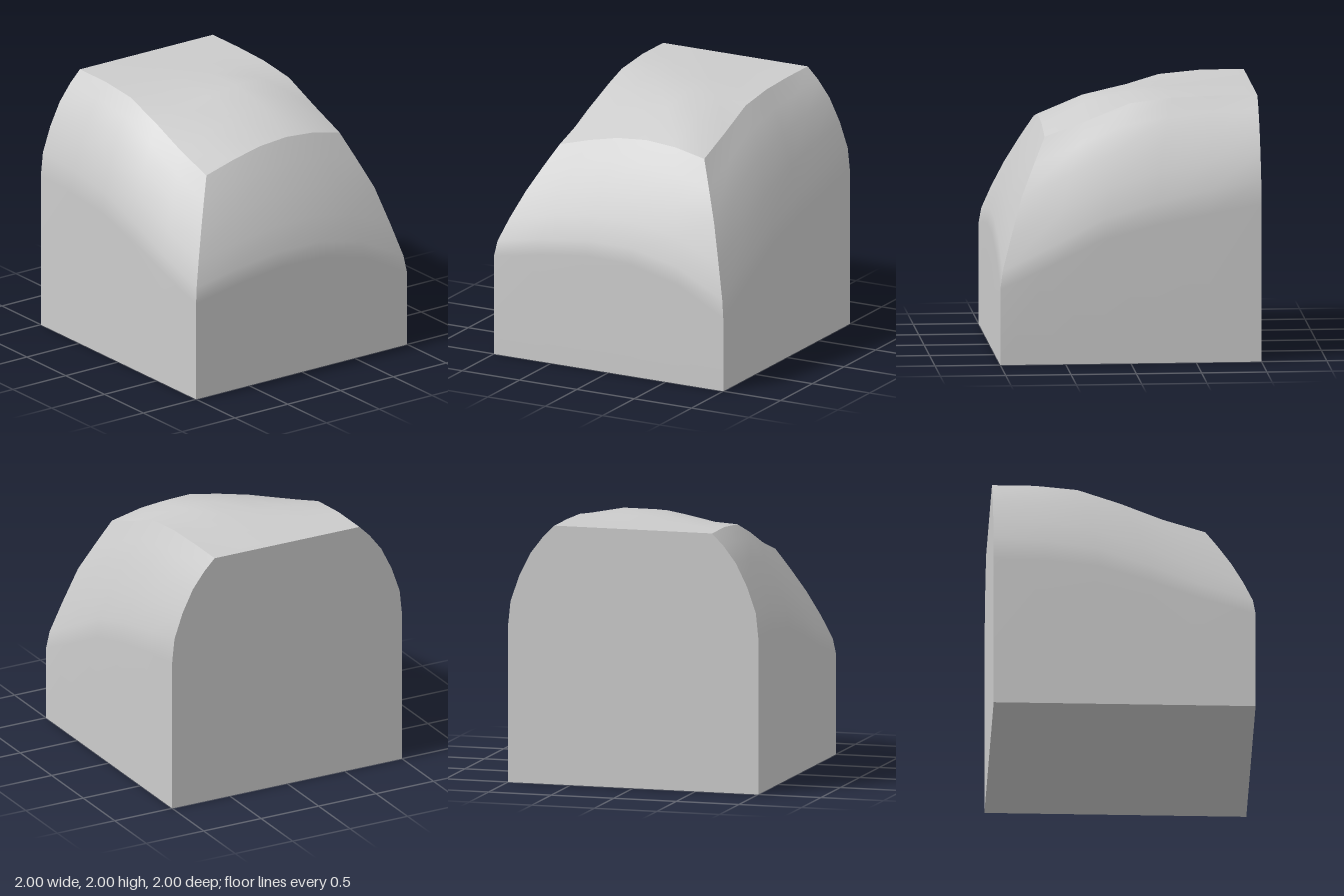
import * as THREE from 'three';

// Roof heights: rows run front to back, columns run from x = -1 to the right rim
const ROOF = [
  [2, 2, 1.97, 1.86, 1.73, 1.63],
  [2, 2, 1.985, 1.92, 1.83, 1.70],
  [2, 2, 2, 1.97, 1.89, 1.755],
  [2, 2, 2, 2, 1.94, 1.775],
  [2, 2, 2, 2, 1.93, 1.755],
  [2, 2, 1.99, 1.95, 1.82, 1.70],
];
const N = 5;

// Wall section: inset from the footprint, and drop below the roof rim at three stations
const INSET = [0, 0.02, 0.09, 0.18, 0.28, 0.37];
const DROP_FLAT = [0.79, 0.60, 0.40, 0.22, 0.09, 0];
const DROP_FRONT = [0.85, 0.73, 0.55, 0.35, 0.16, 0];
const DROP_BACK = [1.12, 0.98, 0.73, 0.43, 0.20, 0];

const material = new THREE.MeshStandardMaterial({ color: 0xcccccc });

// Smooth surface through a grid of points; its outline stays a sharp edge
function panel(name, rows) {
  const w = rows[0].length;
  const index = [];
  for (let r = 0; r < rows.length - 1; r++) {
    for (let c = 0; c < w - 1; c++) {
      const a = r * w + c, b = a + 1, d = a + w, e = d + 1;
      index.push(a, b, e, a, e, d);
    }
  }
  const geometry = new THREE.BufferGeometry();
  geometry.setAttribute('position', new THREE.Float32BufferAttribute(rows.flat(2), 3));
  geometry.setIndex(index);
  geometry.computeVertexNormals();
  const mesh = new THREE.Mesh(geometry, material);
  mesh.name = name;
  return mesh;
}

// Wall rows from the ground up; place(u, inset) gives [x, z], rim(k) the roof height
function wallRows(place, rim, dropA, dropB, power = 1) {
  const row = (inset, height) => Array.from({ length: N + 1 }, (_, k) => {
    const [x, z] = place(k / N, inset);
    return [x, height(k), z];
  });
  const curved = INSET.map((inset, l) => row(inset, (k) =>
    rim(k) - THREE.MathUtils.lerp(dropA[l], dropB[l], (k / N) ** power)));
  return [row(0, () => 0), ...curved];
}

export function createModel() {
  const group = new THREE.Group();
  group.name = 'roundedBlock';

  const front = wallRows((u, d) => [-1 + u * (2 - d), 1 - d], (k) => ROOF[0][k], DROP_FLAT, DROP_FRONT);
  const back = wallRows((u, d) => [-1 + u * (2 - d), d - 1], (k) => ROOF[N][k], DROP_FLAT, DROP_BACK);
  const side = wallRows((u, d) => [1 - d, (1 - d) * (1 - 2 * u)], (k) => ROOF[k][N], DROP_FRONT, DROP_BACK, 4);

  // Curved walls
  group.add(panel('frontWall', front));
  group.add(panel('backWall', back.map((row) => [...row].reverse())));
  group.add(panel('curvedSideWall', side));

  // Flat end, spanning the ends of the front and back walls
  group.add(panel('flatEndWall', front.map((row, r) => [back[r][0], row[0]])));

  // Domed roof
  const rim = 1 - INSET[N];
  group.add(panel('roof', ROOF.map((row, j) => row.map((y, i) =>
    [-1 + (i / N) * (1 + rim), y, rim * (1 - (2 * j) / N)]))));

  // Underside
  group.add(panel('base', [[[-1, 0, -1], [1, 0, -1]], [[-1, 0, 1], [1, 0, 1]]]));
  return group;
}
